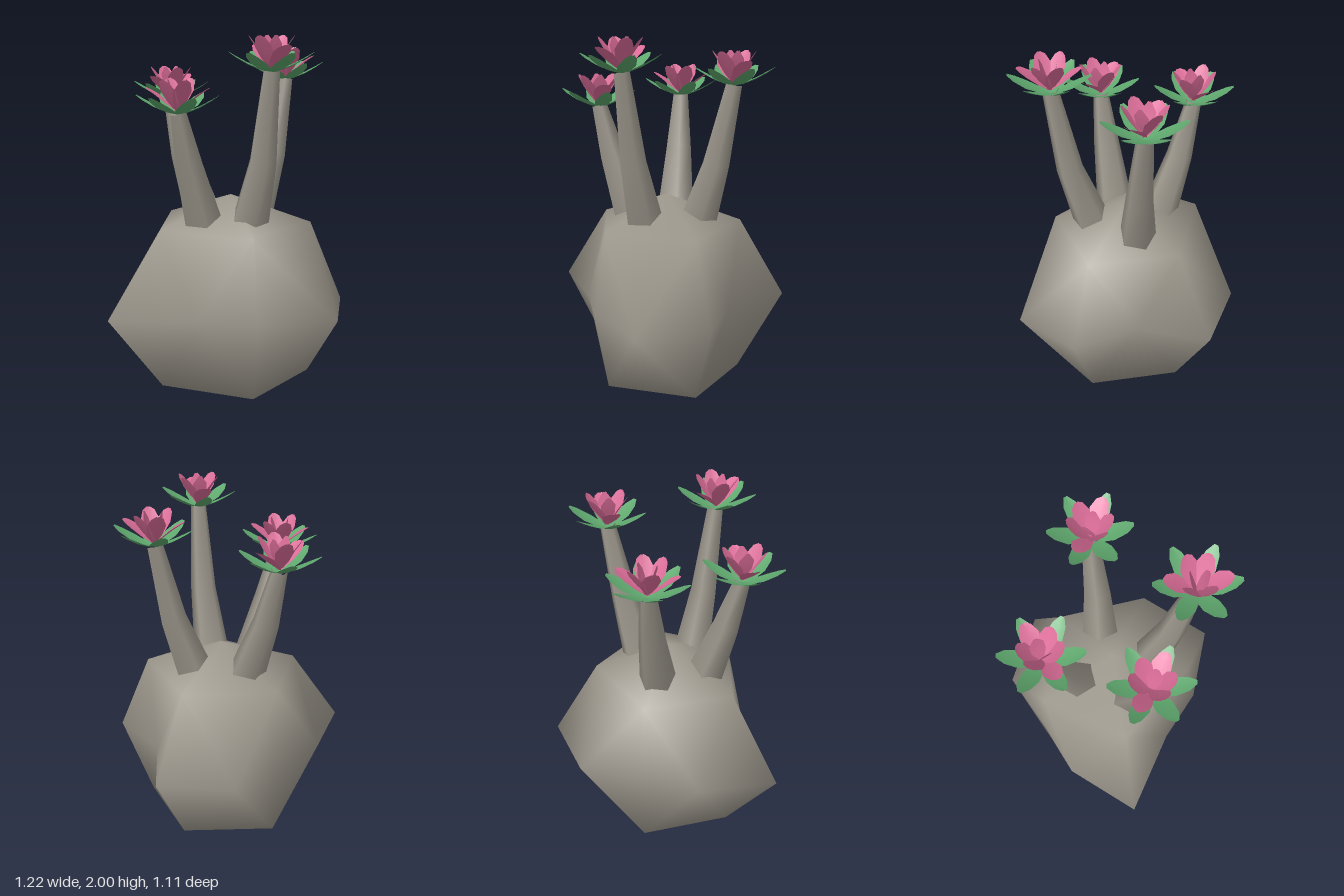
import * as THREE from 'three';

const mat = (name, color, side = THREE.FrontSide) => {
  const m = new THREE.MeshStandardMaterial({ color, side });
  m.name = name;
  return m;
};

const buildGeometry = (pos, index) => {
  const g = new THREE.BufferGeometry();
  g.setAttribute('position', new THREE.Float32BufferAttribute(pos, 3));
  g.setIndex(index);
  g.computeVertexNormals();
  return g;
};

// Lumpy swollen trunk: a ten-point waist between two five-point rings and two poles
function trunkGeometry() {
  const cy = 0.588, cz = 0.055, rise = 0.43;
  const waist = [[0.605, 0.05], [0.555, 0.43], [0.157, 0.515], [-0.14, 0.466], [-0.61, 0.465],
    [-0.555, 0.05], [-0.36, -0.23], [-0.2, -0.51], [0.21, -0.56], [0.317, -0.18]];
  const ring = [[0.43, 0.055], [0.13, 0.44], [-0.36, 0.29], [-0.35, -0.195], [0.13, -0.327]];
  const pos = [], index = [];
  for (const [x, z] of waist) pos.push(x, cy, z);
  for (const s of [1, -1]) {
    for (const [x, z] of ring) pos.push(x, cy + s * rise, z);
    pos.push(0, s > 0 ? 1.167 : 0, cz);
  }
  for (const s of [1, -1]) {
    const base = s > 0 ? 10 : 16, pole = base + 5;
    const tri = (a, b, c) => (s > 0 ? index.push(a, b, c) : index.push(a, c, b));
    for (let i = 0; i < 5; i++) {
      const r = base + i, next = base + (i + 1) % 5;
      const w = 2 * i, after = w + 1, before = (w + 9) % 10;
      tri(pole, next, r);
      tri(r, w, before);
      tri(r, after, w);
      tri(r, next, after);
    }
  }
  return buildGeometry(pos, index);
}

// Tapered five-sided branch with one bend
function branchGeometry(points) {
  const curve = new THREE.CatmullRomCurve3(points.map(p => new THREE.Vector3(...p)));
  const radii = [0.103, 0.073, 0.043], sides = 5;
  const g = new THREE.TubeGeometry(curve, 2, 1, sides);
  const p = g.attributes.position, v = new THREE.Vector3();
  radii.forEach((r, i) => {
    const centre = curve.getPointAt(i / 2), target = curve.getPoint(i / 2);
    for (let j = 0; j <= sides; j++) {
      const k = i * (sides + 1) + j;
      v.fromBufferAttribute(p, k).sub(centre).multiplyScalar(r).add(target);
      p.setXYZ(k, v.x, v.y, v.z);
    }
  });
  return g;
}

// Folded blade growing along +x; each station is [reach, height, half width]
function bladeGeometry(stations, fold) {
  const pos = [], index = [];
  for (const [x, y, w] of stations) pos.push(x, y + fold * w, -w, x, y, 0, x, y + fold * w, w);
  for (let i = 0; i < stations.length - 1; i++) {
    for (let s = 0; s < 2; s++) {
      const a = i * 3 + s;
      index.push(a, a + 1, a + 4, a, a + 4, a + 3);
    }
  }
  return buildGeometry(pos, index);
}

export function createModel() {
  const bark = mat('bark', 0x9f9a8f);
  const green = mat('leafGreen', 0x5fa86e, THREE.DoubleSide);
  const pink = mat('petalPink', 0xdb6d98, THREE.DoubleSide);
  const model = new THREE.Group();
  model.name = 'succulentTree';

  const add = (parent, name, geometry, material) => {
    const mesh = new THREE.Mesh(geometry, material);
    mesh.name = name;
    parent.add(mesh);
    return mesh;
  };
  add(model, 'trunk', trunkGeometry(), bark);

  // Blade layers of a blossom, from the outside in; angles in degrees
  const layers = [
    { name: 'leaf', material: green, angles: [0, 60, 120, 180, 240, 300], geometry: bladeGeometry(
      [[0, -0.008, 0.012], [0.05, 0.002, 0.034], [0.11, 0.026, 0.045], [0.17, 0.06, 0.033], [0.205, 0.085, 0.01]], 0.15) },
    { name: 'widePetal', material: pink, angles: [0, 180], geometry: bladeGeometry(
      [[0, 0.005, 0.012], [0.05, 0.04, 0.036], [0.1, 0.08, 0.048], [0.14, 0.108, 0.032], [0.157, 0.12, 0.01]], 0.2) },
    { name: 'raisedPetal', material: pink, angles: [60, 120, 240, 300], geometry: bladeGeometry(
      [[0, 0.005, 0.012], [0.035, 0.05, 0.036], [0.07, 0.1, 0.048], [0.1, 0.145, 0.03], [0.11, 0.163, 0.008]], 0.2) },
    { name: 'budPetal', material: pink, angles: [0, 180], geometry: bladeGeometry(
      [[0, 0.02, 0.012], [0.02, 0.07, 0.036], [0.036, 0.12, 0.038], [0.046, 0.165, 0.008]], 0.1) },
  ];

  // Branches: base, bend and tip, with a blossom on each tip
  const branches = [
    { path: [[-0.14, 1.045, 0.215], [-0.205, 1.36, 0.295], [-0.25, 1.63, 0.35]], turn: -3 },
    { path: [[-0.16, 1.045, -0.06], [-0.265, 1.36, -0.12], [-0.335, 1.665, -0.16]], turn: 57 },
    { path: [[0.1, 1.045, 0.22], [0.165, 1.38, 0.302], [0.205, 1.837, 0.365]], turn: -62 },
    { path: [[0.13, 1.045, -0.075], [0.223, 1.36, -0.135], [0.288, 1.767, -0.2]], turn: 0 },
  ];
  for (const { path, turn } of branches) {
    add(model, 'branch', branchGeometry(path), bark);
    const blossom = new THREE.Group();
    blossom.name = 'blossom';
    blossom.position.set(...path[2]);
    blossom.rotation.y = THREE.MathUtils.degToRad(turn);
    for (const { name, material, angles, geometry } of layers) {
      for (const angle of angles) {
        add(blossom, name, geometry, material).rotation.y = THREE.MathUtils.degToRad(angle);
      }
    }
    model.add(blossom);
  }
  return model;
}
